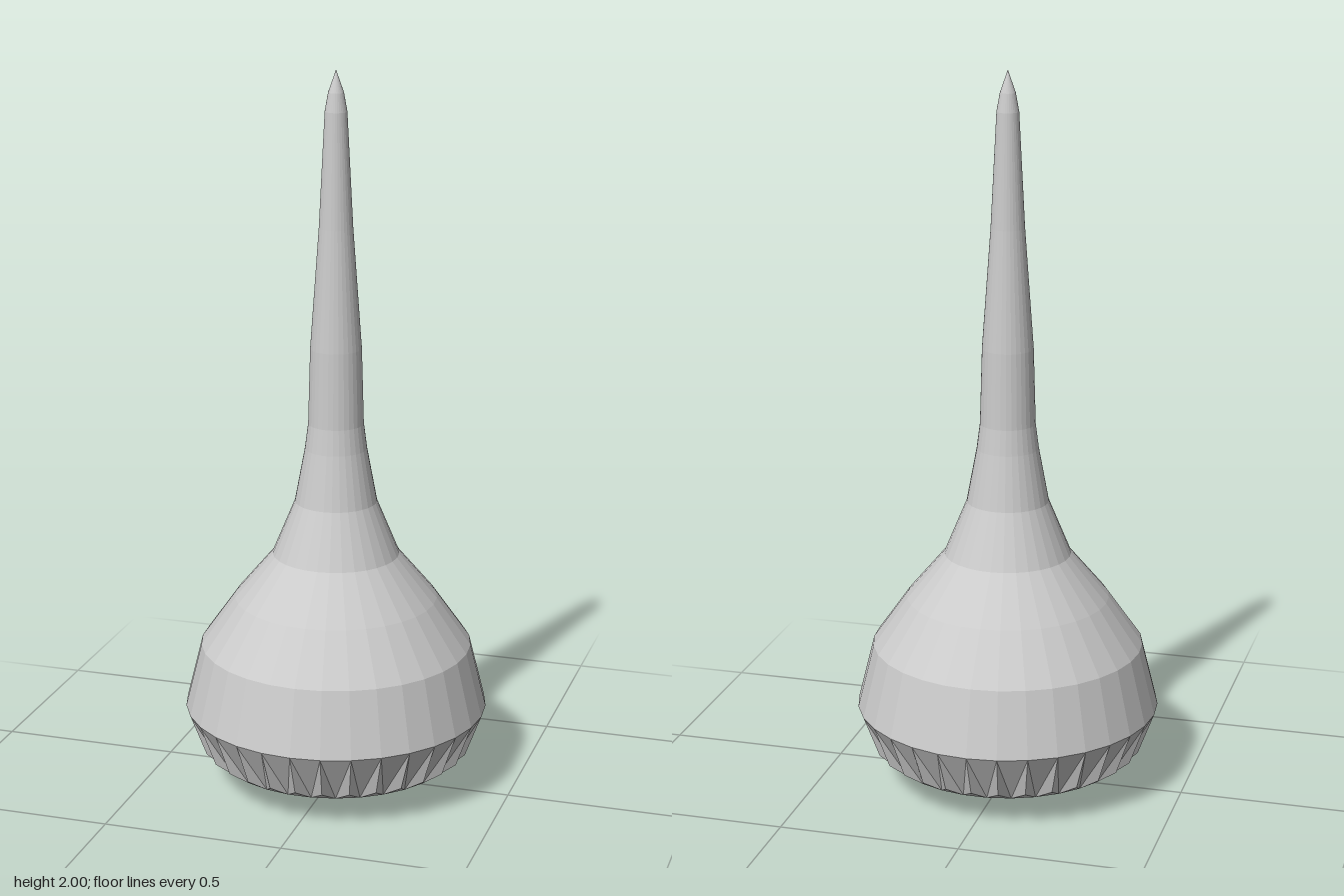
import * as THREE from 'three';

const SIDES = 32;
const material = new THREE.MeshStandardMaterial({ color: 0xcccccc, flatShading: true });

// Point on a ring; step counts sides and may be fractional
function ringPoint(radius, y, step) {
  const a = (step / SIDES) * Math.PI * 2;
  return [radius * Math.sin(a), y, radius * Math.cos(a)];
}

function facets(name, corners) {
  const geometry = new THREE.BufferGeometry();
  geometry.setAttribute('position', new THREE.Float32BufferAttribute(corners.flat(), 3));
  geometry.computeVertexNormals();
  const mesh = new THREE.Mesh(geometry, material);
  mesh.name = name;
  return mesh;
}

export function createModel() {
  const group = new THREE.Group();
  group.name = 'spikedBulb';

  // Bulb flaring into the tall spike
  const profile = [
    [0.42, 0.23], [0.375, 0.41], [0.28, 0.545], [0.175, 0.67], [0.113, 0.82],
    [0.085, 0.97], [0.076, 1.04], [0.07, 1.25], [0.046, 1.58], [0.03, 1.89],
    [0.021, 1.94], [0, 2],
  ].map(([r, y]) => new THREE.Vector2(r, y));
  const body = new THREE.Mesh(new THREE.LatheGeometry(profile, SIDES), material);
  body.name = 'bulbAndSpike';
  group.add(body);

  // Pleated skirt under the rim, and the shallow cone closing the bottom
  const pleats = [];
  const base = [];
  const apex = [0, 0.005, 0];
  for (let i = 0; i < SIDES; i++) {
    const rimA = ringPoint(0.42, 0.23, i);
    const rimB = ringPoint(0.42, 0.23, i + 1);
    const ridgeA = ringPoint(0.375, 0.11, i);
    const ridgeB = ringPoint(0.375, 0.11, i + 1);
    const groove = ringPoint(0.337, 0.083, i + 0.5);
    const nextGroove = ringPoint(0.337, 0.083, i + 1.5);
    pleats.push(rimA, groove, rimB, rimA, ridgeA, groove, rimB, groove, ridgeB);
    base.push(groove, nextGroove, ridgeB, groove, apex, nextGroove);
  }
  group.add(facets('pleatedSkirt', pleats), facets('bottomCone', base));
  return group;
}
